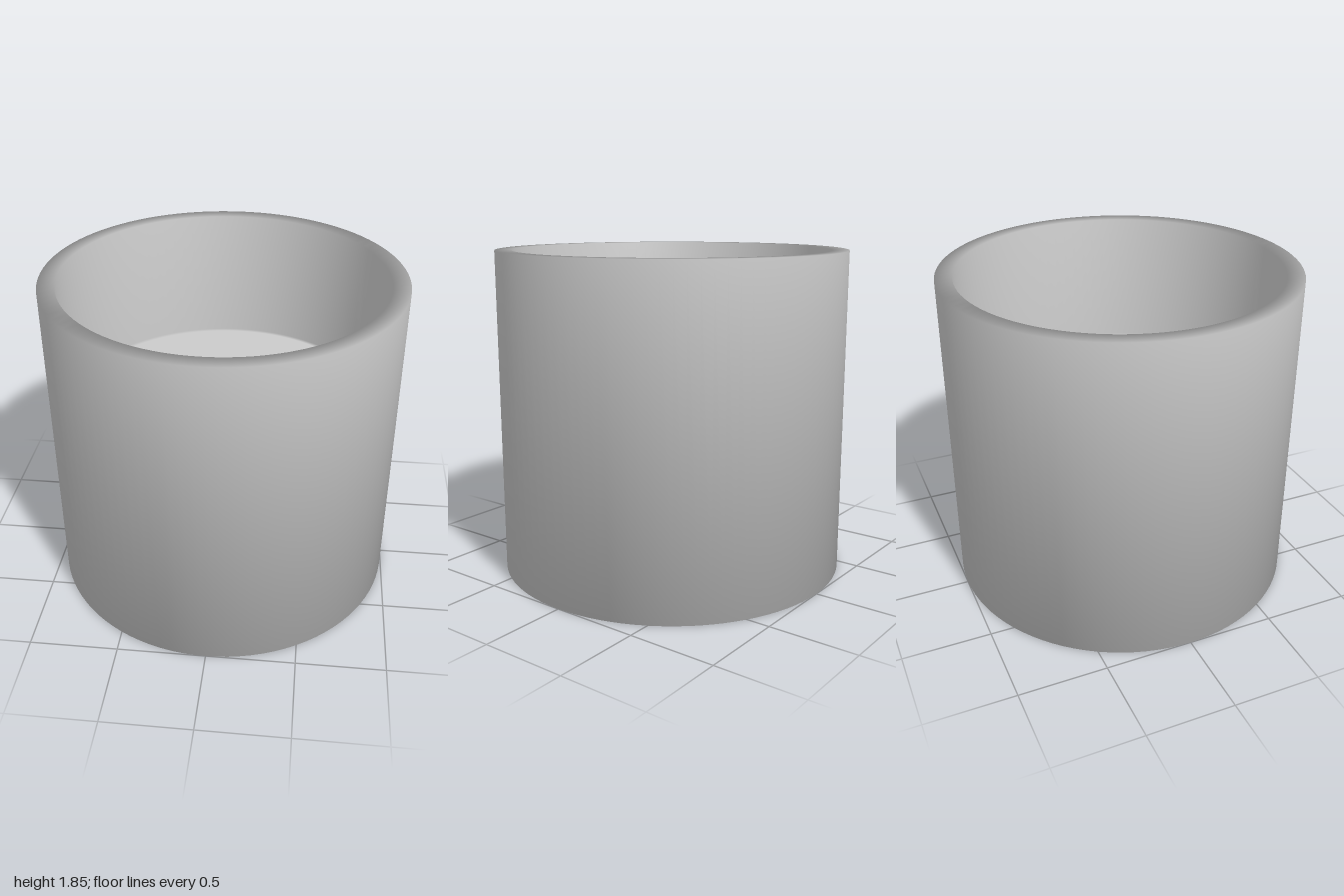
import * as THREE from 'three';

const HEIGHT = 1.85, OUTER = 1, INNER = 0.905, FLOOR = 1.07;

export function createModel() {
  const group = new THREE.Group();

  // Closed cylinder with a deep recess; one continuous profile keeps soft shading over the rims
  const profile = [
    [0, 0], [OUTER, 0], [OUTER, HEIGHT], [INNER, HEIGHT],
    [INNER, FLOOR], [INNER - 0.03, FLOOR], [0, FLOOR],
  ].map(([r, y]) => new THREE.Vector2(r, y));
  const housing = new THREE.Mesh(
    new THREE.LatheGeometry(profile, 96),
    new THREE.MeshStandardMaterial({ color: 0xcccccc }),
  );
  housing.name = 'housing';

  // Dark round inset in the middle of the recess floor
  const inset = new THREE.Mesh(
    new THREE.CylinderGeometry(0.26, 0.26, 0.01, 64),
    new THREE.MeshStandardMaterial({ color: 0x464646 }),
  );
  inset.name = 'centreDisc';
  inset.position.y = FLOOR;

  group.add(housing, inset);
  return group;
}
